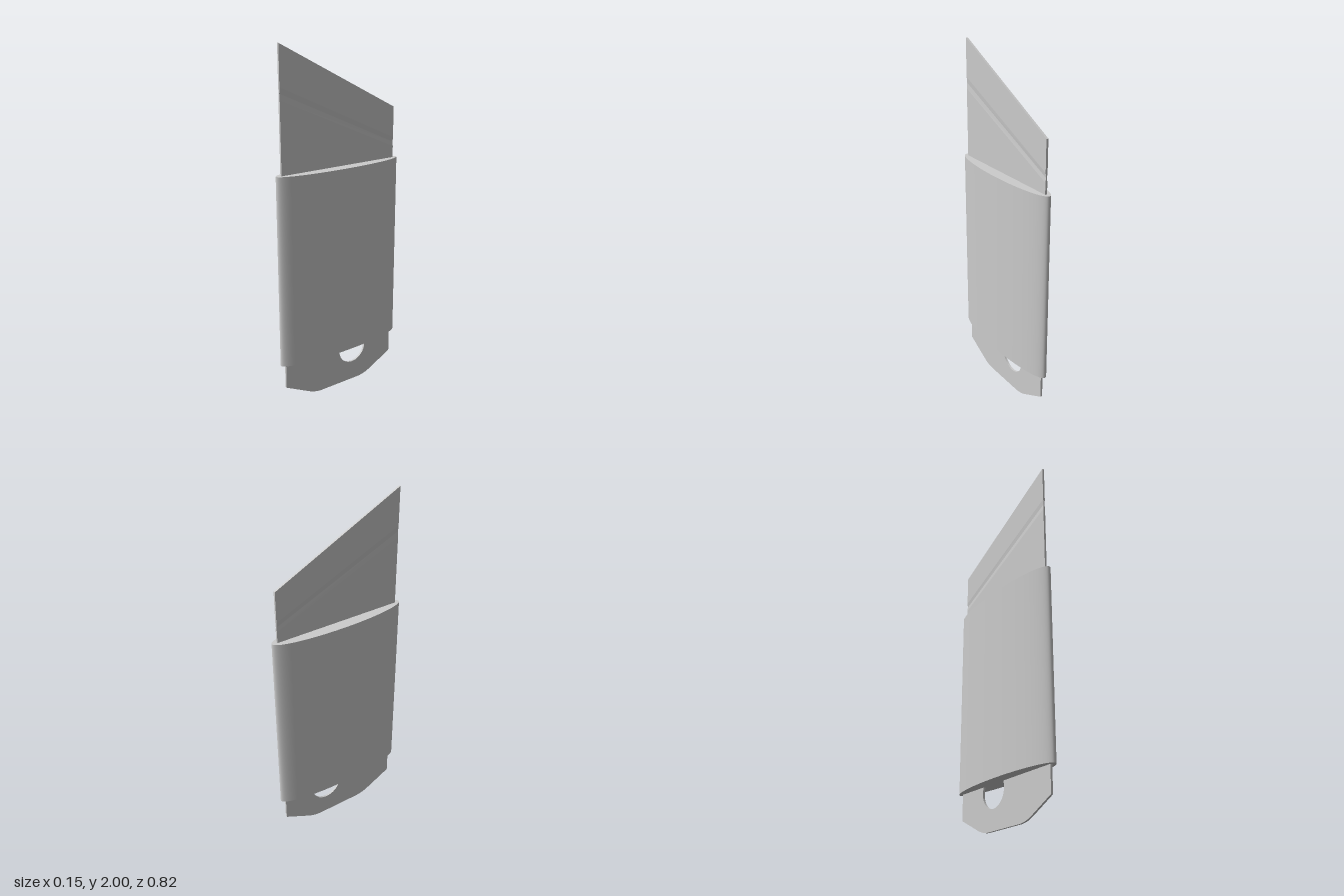
import * as THREE from 'three';

const THICK = 0.012;  // blade thickness
const HALF = 0.38;    // blade half width along z
const TAPER = 0.81;   // height of the rear edge relative to the front edge
const JOIN = 1.0;     // front height where the two blade parts meet, inside the sleeve

export function createModel() {
  const model = new THREE.Group();
  const grey = new THREE.MeshStandardMaterial({ color: 0xcccccc });
  const add = (name, geometry) => {
    const mesh = new THREE.Mesh(geometry, grey);
    mesh.name = name;
    model.add(mesh);
  };

  // Elliptical handle sleeve
  const sleeve = new THREE.CylinderGeometry(1, 1, 1.085, 96);
  sleeve.scale(0.074, 1, 0.41);
  sleeve.translate(0, 0.7875, 0);
  add('handleSleeve', sleeve);

  // Lower blade plate: chamfered foot with softened corners and a round hole
  const plate = new THREE.Shape();
  plate.moveTo(-HALF, 0.10);
  plate.lineTo(-0.23, 0.025);
  plate.quadraticCurveTo(-0.18, 0, -0.13, 0);
  plate.lineTo(0.13, 0);
  plate.quadraticCurveTo(0.18, 0, 0.23, 0.025);
  plate.lineTo(HALF, 0.10);
  plate.lineTo(HALF, JOIN);
  plate.lineTo(-HALF, JOIN * TAPER);
  plate.closePath();
  const hole = new THREE.Path();
  hole.absarc(-0.09, 0.21, 0.095, 0, Math.PI * 2, true);
  plate.holes.push(hole);
  const tang = new THREE.ExtrudeGeometry(plate, { depth: THICK, bevelEnabled: false, curveSegments: 24 });
  tang.translate(0, 0, -THICK / 2);
  tang.rotateY(-Math.PI / 2);
  add('bladeTang', tang);

  // Upper blade: cross-section with a V groove on both faces
  const t = THICK / 2, g = t - 0.003;
  const side = [[t, JOIN], [t, 1.72], [g, 1.7525], [t, 1.785], [t, 2]];
  const mirrored = side.map(([x, y]) => [-x, y]).reverse();
  const section = new THREE.Shape([...side, ...mirrored].map(([x, y]) => new THREE.Vector2(x, y)));
  const tip = new THREE.ExtrudeGeometry(section, { depth: HALF * 2, bevelEnabled: false });
  tip.translate(0, 0, -HALF);

  // Lower the rear end so that the top edge and the grooves slope
  const pos = tip.attributes.position;
  for (let i = 0; i < pos.count; i++) {
    if (pos.getZ(i) < 0) pos.setY(i, pos.getY(i) * TAPER);
  }
  tip.computeVertexNormals();
  add('bladeTip', tip);

  return model;
}
